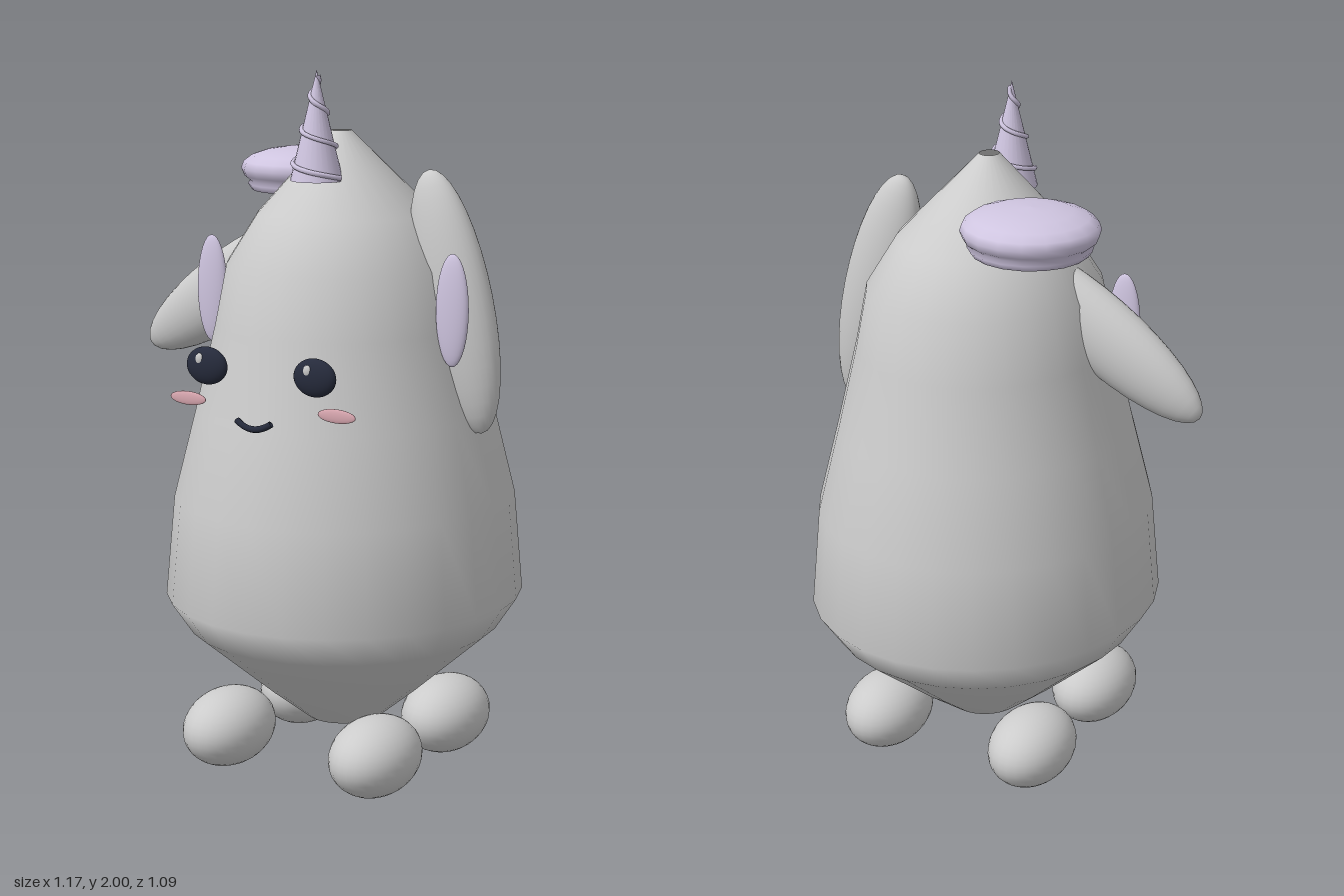
import * as THREE from 'three';

const GREY = 0xcccccc, LILAC = 0xcfc5e0, DARK = 0x262b3c, PINK = 0xdba9b2, WHITE = 0xf4f4f4;
const CX = 0.08; // the body's centre line

function part(parent, name, geometry, color, position = [0, 0, 0], doubleSided = false) {
  const material = new THREE.MeshStandardMaterial({ color });
  if (doubleSided) material.side = THREE.DoubleSide;
  const mesh = new THREE.Mesh(geometry, material);
  mesh.name = name;
  mesh.position.set(...position);
  parent.add(mesh);
  return mesh;
}

function ellipsoid(parent, name, color, position, radii, tilt = 0) {
  const geometry = new THREE.SphereGeometry(1, 28, 18).scale(...radii);
  const mesh = part(parent, name, geometry, color, position);
  mesh.rotation.z = tilt;
  return mesh;
}

const profile = (points) => points.map(([r, y]) => new THREE.Vector2(r, y));

export function createModel() {
  const model = new THREE.Group();
  model.name = 'unicornFigure';

  // Pear-shaped body, open at both ends, slightly narrower in x
  const body = new THREE.LatheGeometry(profile([
    [0.12, 0.13], [0.25, 0.23], [0.48, 0.42], [0.545, 0.513], [0.517, 0.8],
    [0.45, 1.05], [0.39, 1.29], [0.355, 1.46], [0.262, 1.6], [0.13, 1.73], [0.03, 1.828],
  ]), 28);
  body.scale(0.923, 1, 1);
  // Bring the crown forward a little
  const p = body.attributes.position;
  for (let i = 0; i < p.count; i++) {
    p.setZ(i, p.getZ(i) + 0.027 * THREE.MathUtils.smoothstep(p.getY(i), 1.6, 1.83));
  }
  body.computeVertexNormals();
  // Blend the normals across the lathe seam
  const n = body.attributes.normal;
  const rows = 11, last = p.count - rows;
  for (let i = 0; i < rows; i++) {
    const v = new THREE.Vector3().fromBufferAttribute(n, i)
      .add(new THREE.Vector3().fromBufferAttribute(n, last + i)).normalize();
    n.setXYZ(i, v.x, v.y, v.z);
    n.setXYZ(last + i, v.x, v.y, v.z);
  }
  part(model, 'body', body, GREY, [CX, 0, 0], true);

  for (const side of [-1, 1]) {
    const label = side > 0 ? 'left' : 'right';

    // Feet, front and back
    for (const [place, z] of [['Front', 0.247], ['Back', -0.172]]) {
      ellipsoid(model, label + place + 'Foot', GREY,
        [CX + side * 0.243, 0.115, z], [0.12, 0.112, 0.165]);
    }

    // Ears: one hangs upright, the other flops outwards
    ellipsoid(model, label + 'Ear', GREY, [CX + side * 0.353, 1.372, 0.01],
      [0.11, 0.369, 0.077], side > 0 ? 0.236 : -0.988);
    ellipsoid(model, label + 'InnerEar', LILAC, [CX + side * 0.388, 1.363, 0.095],
      [0.049, 0.155, 0.02]);

    // Face
    const eyeX = CX + side * 0.17;
    ellipsoid(model, label + 'Eye', DARK, [eyeX, 1.217, 0.453], [0.064, 0.052, 0.025]);
    ellipsoid(model, label + 'EyeHighlight', WHITE, [eyeX - 0.012, 1.237, 0.472],
      [0.012, 0.016, 0.007]);
    ellipsoid(model, label + 'Cheek', PINK, [CX + side * 0.235, 1.12, 0.45],
      [0.058, 0.019, 0.005]);
  }

  // Smile
  const smile = new THREE.QuadraticBezierCurve3(
    new THREE.Vector3(-0.054, 0.012, 0),
    new THREE.Vector3(0, -0.026, 0.012),
    new THREE.Vector3(0.054, 0.012, 0));
  part(model, 'mouth', new THREE.TubeGeometry(smile, 12, 0.009, 8), DARK, [CX, 1.073, 0.485], true);

  // Horn with a spiral ridge
  const horn = new THREE.Group();
  horn.name = 'horn';
  horn.position.set(CX, 1.7, 0.16);
  model.add(horn);
  part(horn, 'hornCone', new THREE.ConeGeometry(0.073, 0.3, 24), LILAC, [0, 0.15, 0]);
  const turns = [];
  for (let i = 0; i <= 60; i++) {
    const t = i / 60, a = t * Math.PI * 6, r = 0.075 * (1 - t * 0.95);
    turns.push(new THREE.Vector3(Math.cos(a) * r, 0.01 + t * 0.275, Math.sin(a) * r));
  }
  part(horn, 'hornSpiral',
    new THREE.TubeGeometry(new THREE.CatmullRomCurve3(turns), 120, 0.007, 6), LILAC);

  // Round cushion-shaped cap on the back of the head, with a hollow underside
  const cap = new THREE.LatheGeometry(profile([
    [0, -0.035], [0.135, -0.035], [0.142, -0.062], [0.16, -0.062], [0.172, -0.045],
    [0.165, -0.035], [0.182, -0.022], [0.191, 0], [0.184, 0.02], [0.16, 0.038],
    [0.115, 0.053], [0.06, 0.061], [0, 0.064],
  ]), 18);
  part(model, 'headCap', cap, LILAC, [-0.145, 1.695, -0.16], true);

  return model;
}
